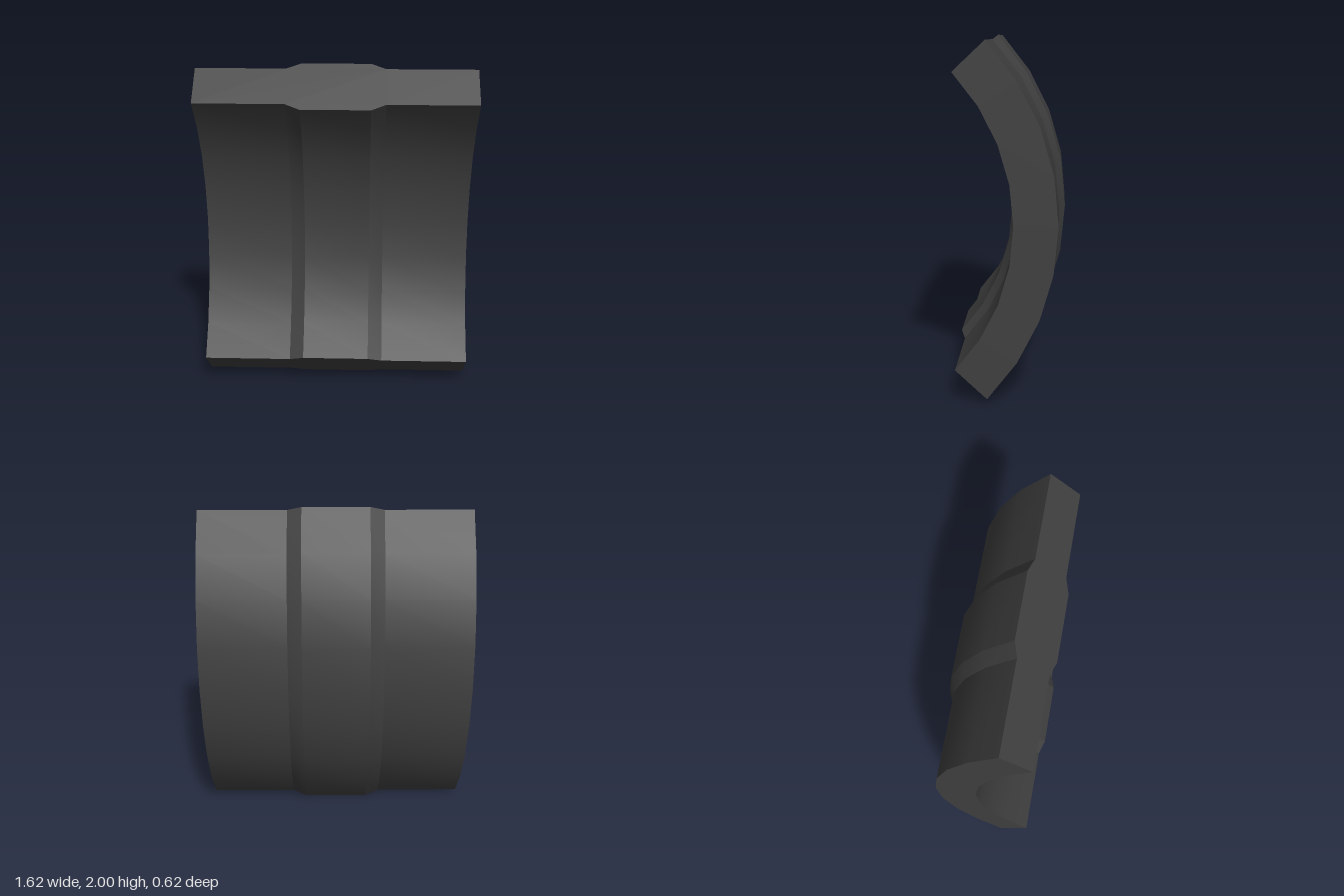
import * as THREE from 'three';
import { toCreasedNormals } from 'three/addons/utils/BufferGeometryUtils.js';

const HALF_ANGLE = 0.753; // half the arc swept by the shell
const AXIS_Z = 1.153;     // bend axis runs along x at y = 1

// Wall section (x = along the axis, y = radius), thicker in the middle
function wallSection() {
  const outer = [[0.81, 1.427], [0.285, 1.427], [0.2, 1.463]];
  const inner = [[0.81, 1.186], [0.285, 1.186], [0.2, 1.149]];
  const mirror = (pts) => pts.map(([x, r]) => [-x, r]);
  const loop = [
    ...mirror(inner), ...inner.slice().reverse(),
    ...outer, ...mirror(outer).reverse(),
  ];
  return new THREE.Shape(loop.map(([x, r]) => new THREE.Vector2(x, r)));
}

export function createModel() {
  const group = new THREE.Group();
  group.name = 'bearingShell';

  // Extrude the section straight, then bend its depth into an arc
  const geometry = new THREE.ExtrudeGeometry(wallSection(), {
    depth: 2 * HALF_ANGLE, steps: 8, bevelEnabled: false,
  });
  const pos = geometry.attributes.position;
  for (let i = 0; i < pos.count; i++) {
    const r = pos.getY(i);
    const angle = pos.getZ(i) - HALF_ANGLE;
    pos.setXYZ(i, pos.getX(i), 1 + r * Math.sin(angle), AXIS_Z - r * Math.cos(angle));
  }

  // Smooth around the arc, sharp at the raised band and the ends
  const shell = new THREE.Mesh(
    toCreasedNormals(geometry, 0.28),
    new THREE.MeshStandardMaterial({ color: 0x404040 }),
  );
  shell.name = 'curvedShell';
  group.add(shell);
  return group;
}
